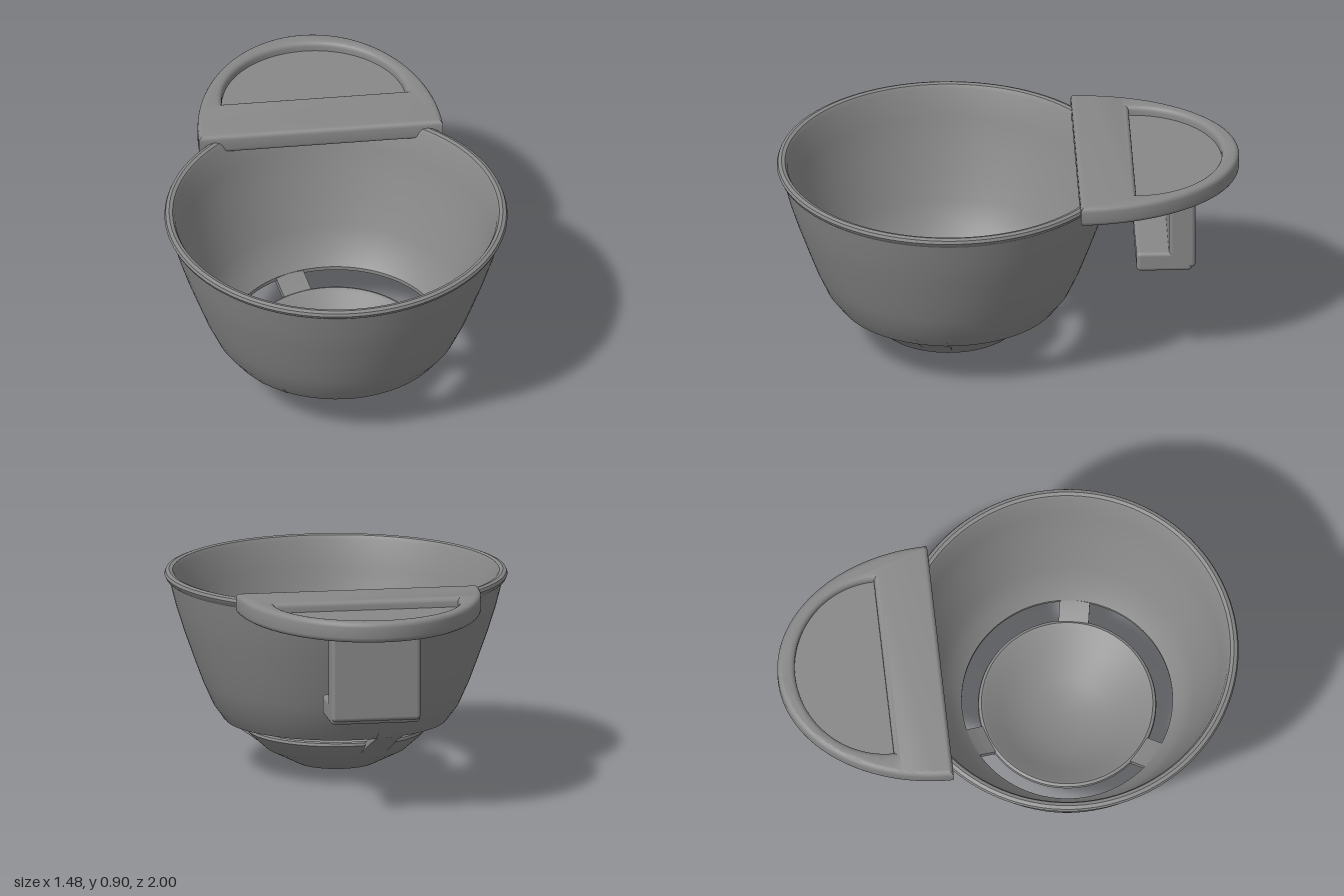
import * as THREE from 'three';
import { toCreasedNormals } from 'three/addons/utils/BufferGeometryUtils.js';
import { RoundedBoxGeometry } from 'three/addons/geometries/RoundedBoxGeometry.js';

const CENTRE_Z = 0.255;
const plastic = new THREE.MeshStandardMaterial({ color: 0x888888 });
plastic.name = 'grey plastic';

function part(name, geometry, crease = 0.6) {
  const mesh = new THREE.Mesh(crease ? toCreasedNormals(geometry, crease) : geometry, plastic);
  mesh.name = name;
  return mesh;
}

const lathe = (points) =>
  new THREE.LatheGeometry(points.map(([r, y]) => new THREE.Vector2(r, y)), 96);

// Half ellipse whose straight side lies at z = chordZ and whose curve points to -z
function halfEllipse(Type, chordZ, rx, rz) {
  const path = new Type();
  path.moveTo(rx, -chordZ);
  path.absellipse(0, -chordZ, rx, rz, 0, Math.PI, false);
  path.closePath();
  return path;
}

export function createModel() {
  const model = new THREE.Group();
  model.name = 'strainer';
  const bowl = new THREE.Group();
  bowl.name = 'bowl';
  bowl.position.z = CENTRE_Z;
  model.add(bowl);

  // Upper wall with a rolled rim, closed around its thickness
  bowl.add(part('bowlWall', lathe([
    [0.455, 0.218], [0.48, 0.218], [0.53, 0.285], [0.575, 0.385], [0.612, 0.485], [0.655, 0.605],
    [0.69, 0.715], [0.718, 0.825], [0.733, 0.838], [0.74, 0.853], [0.735, 0.866], [0.72, 0.872],
    [0.705, 0.868], [0.695, 0.85], [0.665, 0.725], [0.628, 0.605], [0.585, 0.485], [0.548, 0.385],
    [0.505, 0.29], [0.455, 0.235], [0.455, 0.218],
  ])));

  // Shallow catching dish
  bowl.add(part('dish', lathe([
    [0, 0.002], [0.06, 0.007], [0.17, 0.025], [0.3, 0.09], [0.37, 0.152], [0.385, 0.17],
    [0.382, 0.182], [0.37, 0.187], [0.355, 0.18], [0.285, 0.118], [0.16, 0.056], [0.06, 0.038], [0, 0.034],
  ])));

  // Three spokes joining the dish to the wall
  const spokeShape = new THREE.Shape([
    [0.34, 0.128], [0.42, 0.184], [0.48, 0.219], [0.5, 0.25], [0.49, 0.268], [0.455, 0.234], [0.40, 0.198], [0.34, 0.165],
  ].map(([r, y]) => new THREE.Vector2(r, y)));
  for (let i = 0; i < 3; i++) {
    const g = new THREE.ExtrudeGeometry(spokeShape, { depth: 0.13, bevelEnabled: false });
    g.translate(0, 0, -0.065);
    const spoke = part('spoke', g);
    spoke.rotation.y = -THREE.MathUtils.degToRad(10.5 + 120 * i);
    bowl.add(spoke);
  }

  // Rest plate with rounded edges and a D-shaped recess
  const bevel = 0.022;
  const outline = halfEllipse(THREE.Shape, -0.295, 0.53, 0.705);
  outline.holes.push(halfEllipse(THREE.Path, -0.54, 0.4, 0.385));
  const plate = new THREE.ExtrudeGeometry(outline, {
    depth: 0.09 - 2 * bevel, bevelThickness: bevel, bevelSize: bevel,
    bevelOffset: -bevel, bevelSegments: 4, curveSegments: 48,
  });
  plate.rotateX(-Math.PI / 2).translate(0, 0.812 + bevel, 0);
  model.add(part('restPlate', plate));

  // Floor of the recess
  const floor = new THREE.ExtrudeGeometry(
    halfEllipse(THREE.Shape, -0.54 + bevel, 0.4 + bevel, 0.385 + 2 * bevel),
    { depth: 0.048, bevelEnabled: false, curveSegments: 48 });
  floor.rotateX(-Math.PI / 2).translate(0, 0.812, 0);
  model.add(part('recessFloor', floor));

  // Hook under the plate: upright slab and forward foot
  const boxes = [
    ['hookUpright', 0.39, 0.41, 0.115, 0.63, -0.7475],
    ['hookFoot', 0.39, 0.09, 0.24, 0.455, -0.67],
  ];
  for (const [name, w, h, d, y, z] of boxes) {
    const box = part(name, new RoundedBoxGeometry(w, h, d, 3, 0.018), 0);
    box.position.set(0, y, z);
    model.add(box);
  }
  return model;
}
